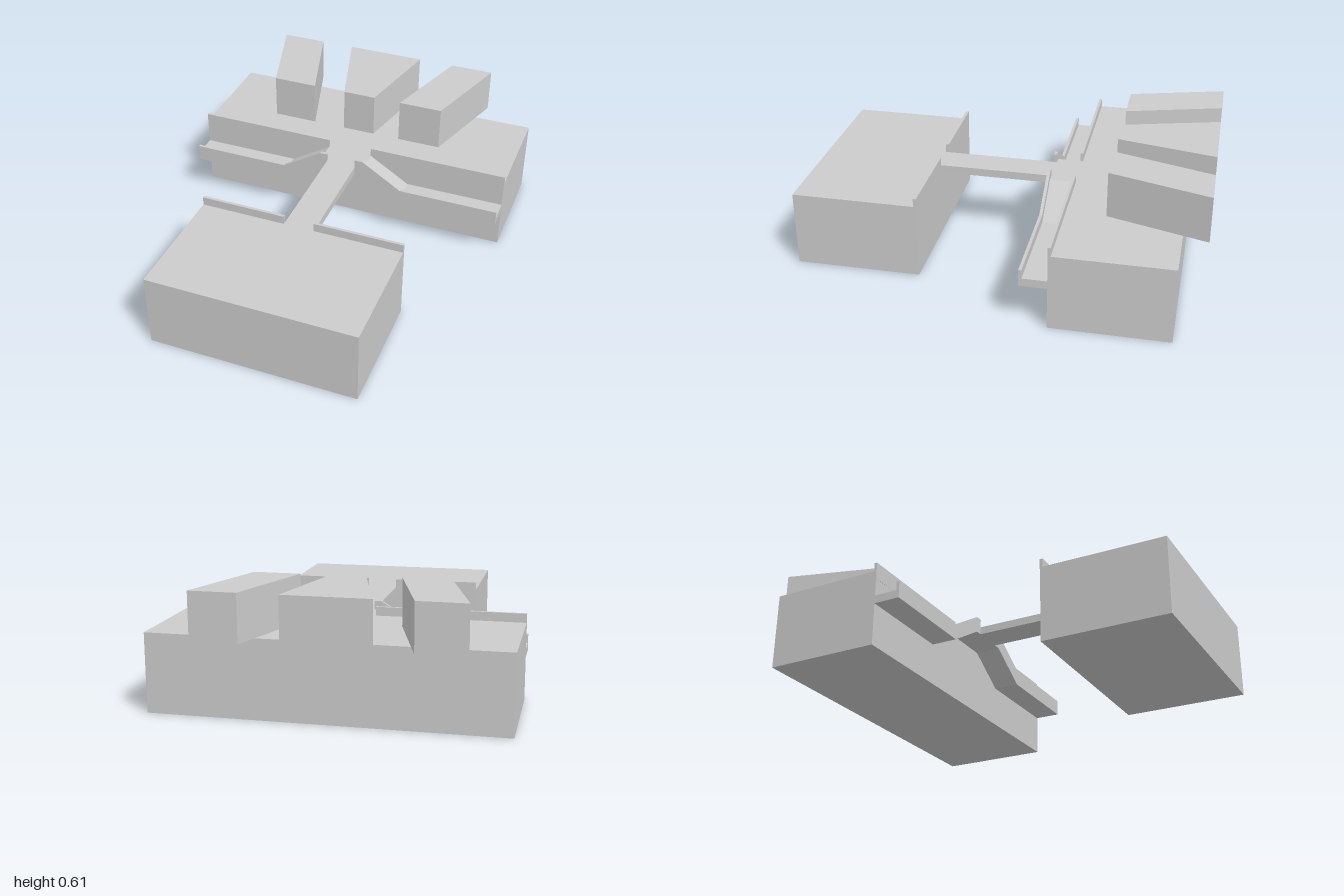
import * as THREE from 'three';

const material = new THREE.MeshStandardMaterial({ color: 0xcccccc, flatShading: true });
const DECK = 0.378;   // level of the roofs and bridge
const SLAB = 0.04;    // slab thickness
const RAIL = 0.043;   // parapet height above the floor
const LOW = 0.248;    // level of the lower walkways

export function createModel() {
  const group = new THREE.Group();

  const add = (name, geometry) => {
    const mesh = new THREE.Mesh(geometry, material);
    mesh.name = name;
    group.add(mesh);
  };

  // Box given by its limits on each axis
  const box = (name, x0, x1, y0, y1, z0, z1) => {
    const g = new THREE.BoxGeometry(x1 - x0, y1 - y0, z1 - z0);
    g.translate((x0 + x1) / 2, (y0 + y1) / 2, (z0 + z1) / 2);
    add(name, g);
  };

  // Profile in the xy plane, extruded from z0 to z1
  const profile = (name, points, z0, z1) => {
    const shape = new THREE.Shape(points.map(([x, y]) => new THREE.Vector2(x, y)));
    const g = new THREE.ExtrudeGeometry(shape, { depth: z1 - z0, bevelEnabled: false });
    g.translate(0, 0, z0);
    add(name, g);
  };

  // Plan outline in x and z, raised from y0 to y1
  const plan = (name, points, y0, y1) => {
    const shape = new THREE.Shape(points.map(([x, z]) => new THREE.Vector2(x, -z)));
    const g = new THREE.ExtrudeGeometry(shape, { depth: y1 - y0, bevelEnabled: false });
    g.rotateX(-Math.PI / 2);
    g.translate(0, y0, 0);
    add(name, g);
  };

  // Main blocks and the bridge between them
  box('frontBlock', -0.513, 0.526, 0, DECK, 0.378, 1);
  box('backBlock', -0.835, 0.835, 0, DECK, -0.88, -0.312);
  box('bridge', -0.08, 0.075, DECK - SLAB, DECK, -0.185, 0.38);

  // Walkway floor: central landing, ramp down and low run on both sides
  const half = [[0.117, DECK], [0.325, LOW], [0.835, LOW]];
  const mirrored = half.map(([x, y]) => [-x, y]).reverse();
  const top = [...mirrored, ...half];
  const bottom = top.map(([x, y]) => [x, y - SLAB]).reverse();
  profile('walkwayFloor', [...top, ...bottom], -0.312, -0.18);

  // Parapets beside the bridge, along the ramps and on the roof edges
  for (const [side, s, inner, outer] of [['left', 1, 0.075, 0.526], ['right', -1, 0.08, 0.513]]) {
    const path = [[inner, DECK], ...half];
    const upper = path.map(([x, y]) => [s * x, y + RAIL]);
    const lower = path.map(([x, y]) => [s * x, y - SLAB]).reverse();
    profile(`${side}RampParapet`, [...upper, ...lower], -0.195, -0.18);

    const span = (a, b) => (s > 0 ? [a, b] : [-b, -a]);
    box(`${side}BackParapet`, ...span(0.117, 0.835), DECK - SLAB, DECK + RAIL, -0.325, -0.311);
    box(`${side}FrontParapet`, ...span(inner, outer), DECK - SLAB, DECK + RAIL, 0.377, 0.392);
  }

  // Roof volumes fanning out over the back edge:
  // front edge limits, then back edge limits
  const volumes = [
    ['rightRoofVolume', -0.51, -0.28, -0.65, -0.42],
    ['middleRoofVolume', -0.11, 0.06, -0.245, 0.163],
    ['leftRoofVolume', 0.202, 0.427, 0.35, 0.573],
  ];
  for (const [name, f0, f1, b0, b1] of volumes) {
    plan(name, [[f0, -0.517], [f1, -0.517], [b1, -1], [b0, -1]], DECK, 0.605);
  }

  return group;
}
